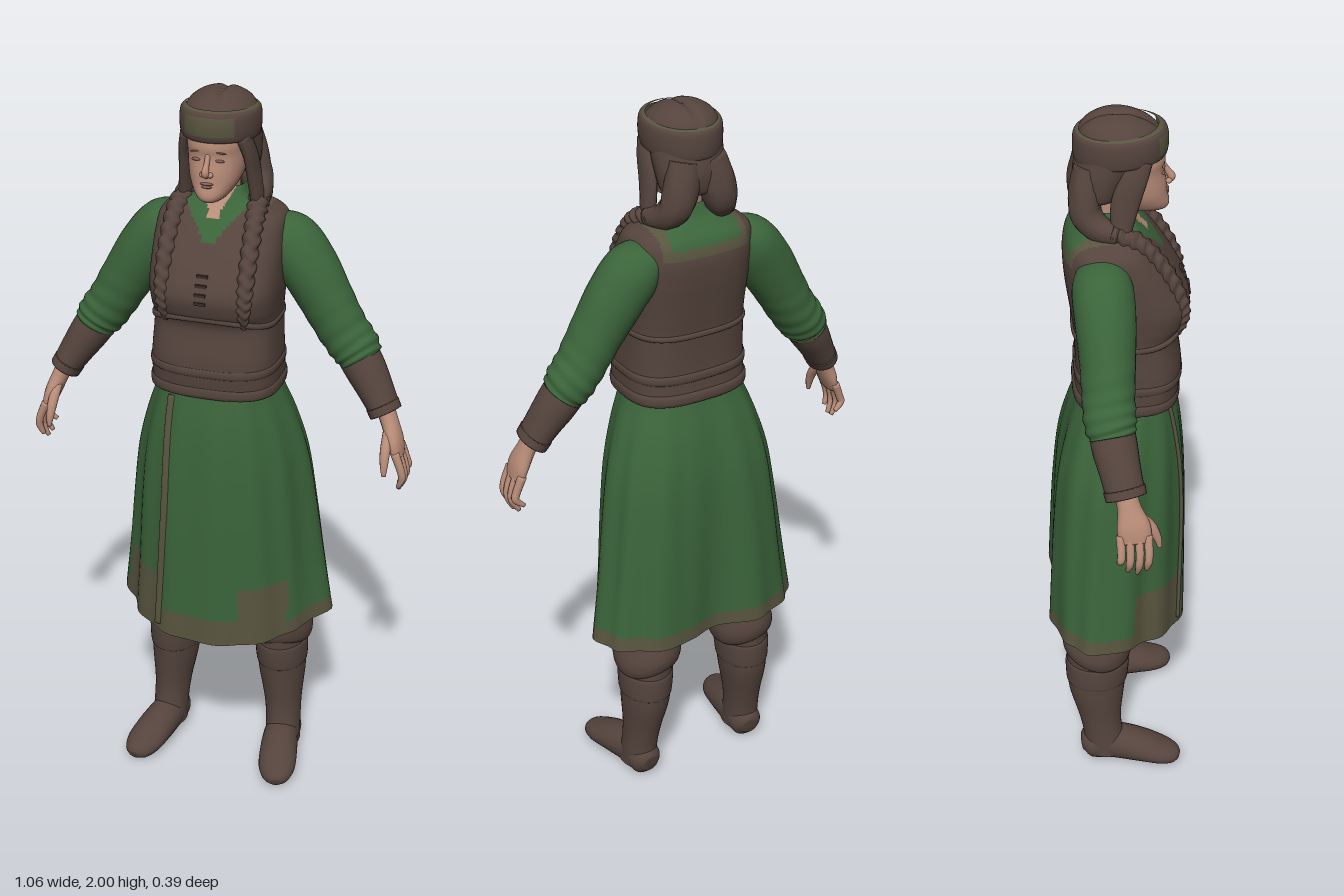
import * as THREE from 'three';

const mat = (name, color, side = THREE.FrontSide) => {
  const m = new THREE.MeshStandardMaterial({ color, side });
  m.name = name;
  return m;
};
const brown = mat('brown leather', 0x55443d);
const dark = mat('dark leather', 0x3a2f2a);
const green = mat('green cloth', 0x3b643a, THREE.DoubleSide);
const olive = mat('olive trim', 0x58553f, THREE.DoubleSide);
const skin = mat('skin', 0xb88c78);
const shade = mat('lips and eyes', 0x86605a);

// Skin a grid of closed rings; paint(centre) picks a material per quad
function skinRings(name, rings, mats, paint) {
  const n = rings[0].length, pos = [], faces = mats.map(() => []);
  rings.forEach(r => r.forEach(p => pos.push(p.x, p.y, p.z)));
  const mid = new THREE.Vector3();
  for (let i = 0; i < rings.length - 1; i++) for (let j = 0; j < n; j++) {
    const k = (j + 1) % n, a = i * n + j, b = i * n + k, c = a + n, d = b + n;
    mid.copy(rings[i][j]).add(rings[i + 1][k]).multiplyScalar(0.5);
    faces[paint ? paint(mid) : 0].push(a, b, d, a, d, c);
  }
  const g = new THREE.BufferGeometry();
  g.setAttribute('position', new THREE.Float32BufferAttribute(pos, 3));
  g.setIndex(faces.flat());
  let start = 0;
  faces.forEach((f, i) => { g.addGroup(start, f.length, i); start += f.length; });
  g.computeVertexNormals();
  const m = new THREE.Mesh(g, mats.length > 1 ? mats : mats[0]);
  m.name = name;
  return m;
}

// Smooth interpolation through rows of numbers
function sample(rows, u) {
  const f = u * (rows.length - 1), i = Math.min(Math.floor(f), rows.length - 2), t = f - i;
  const at = k => rows[Math.max(0, Math.min(rows.length - 1, k))];
  return rows[0].map((_, c) => {
    const p0 = at(i - 1)[c], p1 = at(i)[c], p2 = at(i + 1)[c], p3 = at(i + 2)[c];
    return p1 + 0.5 * t * (p2 - p0 + t * (2 * p0 - 5 * p1 + 4 * p2 - p3 + t * (3 * (p1 - p2) + p3 - p0)));
  });
}

// Upright body: rows of [y, halfWidth, zFront, zBack, centreX], from bottom to top
function loft(name, rows, mats, { p = 2, seg = 40, steps = 5, paint, warp } = {}) {
  const rings = [], n = (rows.length - 1) * steps;
  const pw = v => Math.sign(v) * Math.abs(v) ** (2 / p);
  for (let i = 0; i <= n; i++) {
    const [y, rx, zf, zb, cx = 0] = sample(rows, i / n), ring = [];
    for (let j = 0; j < seg; j++) {
      const t = j / seg * Math.PI * 2;
      const v = new THREE.Vector3(cx + rx * pw(Math.sin(t)), y, (zf + zb) / 2 + (zf - zb) / 2 * pw(Math.cos(t)));
      if (warp) warp(v, t, i / n);
      ring.push(v);
    }
    rings.push(ring);
  }
  return skinRings(name, rings, [].concat(mats), paint);
}

// Limb along a path: points of [x, y, z, radiusAcross, radiusAlongRef]
function limb(name, pts, material, { ref = [0, 0, 1], seg = 16, steps = 6, bump = () => 1 } = {}) {
  const n = (pts.length - 1) * steps, rings = [], R = new THREE.Vector3(...ref);
  const P = u => new THREE.Vector3(...sample(pts, u).slice(0, 3));
  for (let i = 0; i <= n; i++) {
    const u = i / n, c = P(u);
    const T = P(Math.min(1, u + 0.01)).sub(P(Math.max(0, u - 0.01))).normalize();
    const B = R.clone().addScaledVector(T, -R.dot(T)).normalize(), A = B.clone().cross(T);
    const [, , , ra, rb] = sample(pts, u);
    const ring = Array.from({ length: seg }, (_, j) => {
      const t = j / seg * Math.PI * 2, k = bump(u, t);
      return c.clone().addScaledVector(A, ra * k * Math.cos(t)).addScaledVector(B, rb * k * Math.sin(t));
    });
    if (i === 0) rings.push(ring.map(() => c.clone()));
    rings.push(ring);
    if (i === n) rings.push(ring.map(() => c.clone()));
  }
  return skinRings(name, rings, [material]);
}

function ball(name, material, pos, scale, rz = 0) {
  const m = new THREE.Mesh(new THREE.SphereGeometry(1, 20, 14), material);
  m.name = name;
  m.position.set(...pos);
  m.scale.set(...scale);
  m.rotation.z = rz;
  return m;
}

// Depth of a mesh's front surface at x, y
const frontZ = (mesh, x, y) =>
  new THREE.Raycaster(new THREE.Vector3(x, y, 1), new THREE.Vector3(0, 0, -1)).intersectObject(mesh)[0].point.z;

export function createModel() {
  const g = new THREE.Group();
  g.name = 'woman in dress';

  // Skirt: narrow in front, two full lobes behind, worn hem, drooping front edge
  const skirt = loft('skirt', [
    [0.5, 0.307, 0.197, -0.188], [0.66, 0.283, 0.195, -0.184], [0.82, 0.262, 0.193, -0.178], [0.98, 0.238, 0.186, -0.165],
    [1.1, 0.205, 0.175, -0.14], [1.2, 0.168, 0.158, -0.108], [1.27, 0.15, 0.14, -0.09]], [green, olive], {
    p: 2.25, seg: 120, steps: 6,
    paint: m => (m.y < 0.53 || (m.y < 0.65 && m.z > 0.04 && (m.x < -0.13 || (m.x > 0.1 && m.x < 0.22)))) ? 1 : 0,
    warp: (v, t, u) => {
      const f = 1 - u, c = Math.cos(t), ax = Math.abs(v.x);
      const k = 1 + 0.018 * Math.sin(t * 13) * Math.min(1, f * 2);
      v.x *= k; v.z *= k;
      v.z -= 0.04 * f * (1 - c * c);
      if (c > 0) v.x *= 1 - 0.13 * f * Math.min(1, c / 0.4);
      else v.z += f * (0.03 * Math.exp(-((v.x / 0.07) ** 2)) - 0.012 * Math.exp(-(((ax - 0.15) / 0.05) ** 2)));
      if (u < 0.35) v.y -= Math.max(0, c) * 0.035 * (1 - u / 0.35);
    } });
  g.add(skirt);
  // Wrapped edge of the skirt front
  const edge = [[-0.095, 1.19], [-0.1, 1.1], [-0.103, 1.0], [-0.108, 0.87], [-0.116, 0.74], [-0.125, 0.6], [-0.133, 0.49]];
  g.add(limb('skirt overlap trim', edge.map(([x, y]) => [x, y, frontZ(skirt, x, y), 0.006, 0.012]), olive, { ref: [1, 0, 0] }));

  // Torso: vest over a green shirt with an open collar
  const torso = loft('vest and shirt', [
    [1.205, 0.172, 0.163, -0.112], [1.3, 0.17, 0.172, -0.108], [1.4, 0.165, 0.16, -0.112], [1.45, 0.168, 0.183, -0.118],
    [1.5, 0.172, 0.19, -0.125], [1.56, 0.173, 0.163, -0.133], [1.62, 0.172, 0.125, -0.136], [1.67, 0.162, 0.088, -0.124],
    [1.7, 0.115, 0.062, -0.095], [1.72, 0.074, 0.048, -0.076], [1.75, 0.058, 0.03, -0.064]], [brown, green, olive, skin], {
    p: 2.9, seg: 144, steps: 10,
    paint: ({ x, y, z }) => {
      const ax = Math.abs(x);
      if (z > 0) {
        if (ax < (y - 1.66) * 0.5) return 3;
        return y > 1.708 || ax < (y - 1.615) * 0.9 ? 1 : 0;
      }
      const d = Math.max(ax - 0.1, 1.655 - y);
      return y > 1.715 || d < 0 ? 1 : d < 0.025 ? 2 : 0;
    } });
  g.add(torso);
  // Belt and corset seams around the waist; the upper one arches under the bust
  [[1.203, 0.036, 0.175, 0.168, -0.116], [1.265, 0.03, 0.173, 0.173, -0.112], [1.395, 0.018, 0.168, 0.17, -0.117]].forEach(([y, h, rx, zf, zb], i) =>
    g.add(loft(i ? 'corset band' : 'belt', [[y, rx - 0.012, zf - 0.012, zb + 0.012], [y + h * 0.15, rx, zf, zb],
      [y + h * 0.85, rx, zf, zb], [y + h, rx - 0.012, zf - 0.012, zb + 0.012]], brown, {
      p: 2.9, seg: 64, steps: 3,
      warp: (v, t) => {
        if (i < 2 || Math.cos(t) < 0) return;
        const a = Math.cos(t) ** 2;
        v.y += 0.03 * a; v.z += 0.008 * a;
      } })));
  // Lacing on the chest
  for (let i = 0; i < 4; i++) {
    const b = new THREE.Mesh(new THREE.BoxGeometry(0.03, 0.008, 0.008), dark), y = 1.485 + i * 0.022;
    b.name = 'vest lace';
    b.position.set(0, y, frontZ(torso, 0, y));
    g.add(b);
  }

  for (const s of [-1, 1]) {
    const side = s > 0 ? 'left' : 'right';
    const arm = new THREE.Group(), leg = new THREE.Group();
    arm.name = side + ' arm';
    leg.name = side + ' leg';
    const X = pts => pts.map(([x, ...r]) => [x * s, ...r]);

    // Sleeve, wrinkled towards the elbow
    arm.add(limb('sleeve', X([[0.12, 1.63, -0.04, 0.045, 0.06], [0.17, 1.597, -0.04, 0.075, 0.077], [0.222, 1.53, -0.036, 0.078, 0.077],
      [0.272, 1.45, -0.033, 0.072, 0.071], [0.32, 1.37, -0.032, 0.067, 0.067], [0.357, 1.32, -0.03, 0.065, 0.066], [0.378, 1.29, -0.025, 0.055, 0.058]]),
    green, { seg: 32, steps: 10, bump: (u, t) => 1 + 0.09 * Math.max(0, u - 0.45) * Math.sin(u * 60 + 2.2 * Math.sin(t + 0.6)) + 0.012 * Math.sin(3 * t + u * 9) }));
    // Bracer with raised edges
    arm.add(limb('bracer', X([[0.36, 1.31, -0.028, 0.056, 0.058], [0.39, 1.265, -0.02, 0.054, 0.058],
      [0.422, 1.215, -0.008, 0.047, 0.053], [0.452, 1.165, 0.004, 0.04, 0.05]]), brown, { seg: 24 }));
    arm.add(limb('bracer cuff', X([[0.442, 1.181, 0, 0.044, 0.054], [0.454, 1.16, 0.005, 0.043, 0.053]]), brown, { seg: 24 }));
    // Hand
    arm.add(limb('palm', X([[0.452, 1.172, 0.004, 0.024, 0.028], [0.468, 1.135, 0.012, 0.023, 0.031],
      [0.486, 1.09, 0.022, 0.021, 0.043], [0.498, 1.05, 0.026, 0.014, 0.041]]), skin));
    [[0.058, 0.97], [0.035, 0.955], [0.011, 0.96], [-0.012, 0.985]].forEach(([z, tip], i) =>
      arm.add(limb('finger', X([[0.494, 1.07, z, 0.012, 0.012], [0.512, 1.025, z + 0.002, 0.011, 0.011],
        [0.516, (1.025 + tip) / 2, z, 0.01, 0.01], [0.506 - i * 0.004, tip, z - 0.004, 0.006, 0.006]]), skin, { seg: 10, steps: 4 })));
    arm.add(limb('thumb', X([[0.468, 1.12, 0.03, 0.014, 0.014], [0.47, 1.08, 0.066, 0.014, 0.014],
      [0.472, 1.045, 0.083, 0.011, 0.011], [0.474, 1.015, 0.09, 0.006, 0.006]]), skin, { seg: 10, steps: 4 }));

    // Trousers gathered over the boot
    const L = rows => rows.map(r => [...r.slice(0, 4), r[4] * s]);
    leg.add(loft('trousers', L([[0.375, 0.06, 0.02, -0.13, 0.158], [0.39, 0.086, 0.035, -0.15, 0.156], [0.43, 0.096, 0.042, -0.157, 0.153],
      [0.49, 0.09, 0.05, -0.14, 0.145], [0.58, 0.088, 0.07, -0.12, 0.135], [0.8, 0.1, 0.1, -0.11, 0.115]]), brown, {
      warp: (v, t) => { if (v.y < 0.52) v.y += 0.012 * Math.sin(t * 2 + 1); } }));
    leg.add(loft('boot shaft', L([[0.03, 0.05, 0.03, -0.098, 0.175], [0.1, 0.05, 0.012, -0.102, 0.173], [0.17, 0.054, 0.008, -0.116, 0.169],
      [0.27, 0.067, 0.018, -0.142, 0.163], [0.36, 0.071, 0.028, -0.146, 0.16], [0.41, 0.073, 0.03, -0.146, 0.158]]), brown));
    leg.add(loft('boot strap', L([[0.298, 0.066, 0.018, -0.142, 0.162], [0.302, 0.072, 0.025, -0.148, 0.162],
      [0.365, 0.075, 0.031, -0.15, 0.16], [0.37, 0.068, 0.022, -0.142, 0.16]]), brown));
    leg.add(limb('boot foot', X([[0.17, 0.045, -0.104, 0.026, 0.025], [0.172, 0.05, -0.08, 0.05, 0.046], [0.177, 0.054, -0.01, 0.054, 0.05],
      [0.19, 0.046, 0.06, 0.046, 0.054], [0.203, 0.034, 0.12, 0.034, 0.052], [0.212, 0.025, 0.16, 0.025, 0.036], [0.215, 0.02, 0.175, 0.011, 0.016]]),
    brown, { ref: [1, 0, 0], seg: 24 }));
    g.add(arm, leg);

    // Hair drawn from the nape around the neck into a plait over the shoulder
    g.add(limb(side + ' gathered hair', X([[0.035, 1.87, -0.07, 0.035, 0.045], [0.05, 1.81, -0.078, 0.04, 0.048], [0.066, 1.755, -0.076, 0.04, 0.044],
      [0.085, 1.722, -0.045, 0.034, 0.035], [0.1, 1.712, 0.005, 0.026, 0.026]]), brown, { ref: [1, 0, 0], seg: 20,
      bump: (u, t) => 1 + 0.04 * Math.sin(6 * t + u * 8) }));
    g.add(limb(side + ' plait', X([[0.095, 1.715, -0.015, 0.026, 0.026], [0.104, 1.695, 0.04, 0.025, 0.025], [0.109, 1.655, 0.088, 0.022, 0.022],
      [0.111, 1.59, 0.132, 0.021, 0.021], [0.111, 1.52, 0.162, 0.02, 0.02], [0.109, 1.465, 0.167, 0.016, 0.017], [0.106, 1.415, 0.153, 0.006, 0.007]]),
    brown, { ref: [1, 0, 0], seg: 16, steps: 16, bump: (u, t) => 1 + 0.15 * Math.sin(u * 85 + 2 * Math.sin(2 * t)) }));
    g.add(limb(side + ' side lock', X([[0.07, 1.9, 0.06, 0.02, 0.03], [0.085, 1.85, 0.04, 0.016, 0.034],
      [0.09, 1.79, 0.02, 0.017, 0.036], [0.097, 1.715, 0.01, 0.018, 0.026]]), brown));

    // Eyes and brows
    g.add(ball(side + ' eye', shade, [0.031 * s, 1.845, 0.118], [0.012, 0.004, 0.004]));
    g.add(ball(side + ' brow', shade, [0.032 * s, 1.866, 0.118], [0.017, 0.002, 0.004], -0.1 * s));
    g.add(ball(side + ' nostril', skin, [0.01 * s, 1.811, 0.133], [0.008, 0.007, 0.009]));
  }

  // Neck, head and face
  g.add(loft('neck', [[1.66, 0.05, 0.045, -0.06], [1.72, 0.045, 0.036, -0.055], [1.79, 0.046, 0.05, -0.05]], skin));
  g.add(loft('head', [[1.732, 0.004, 0.1, 0.092], [1.735, 0.026, 0.126, 0.03], [1.75, 0.044, 0.136, 0.0], [1.78, 0.062, 0.131, -0.03],
    [1.81, 0.071, 0.128, -0.06], [1.85, 0.077, 0.122, -0.08], [1.88, 0.079, 0.125, -0.085], [1.93, 0.076, 0.115, -0.085]], skin, { p: 2.2 }));
  g.add(limb('nose', [[0, 1.862, 0.116, 0.006, 0.007], [0, 1.838, 0.129, 0.008, 0.007], [0, 1.818, 0.141, 0.01, 0.01],
    [0, 1.806, 0.132, 0.006, 0.007]], skin, { ref: [1, 0, 0], seg: 12 }));
  g.add(ball('upper lip', shade, [0, 1.786, 0.129], [0.018, 0.004, 0.006]));
  g.add(ball('lower lip', shade, [0, 1.778, 0.129], [0.014, 0.004, 0.006]));

  // Hair with a centre parting, and the headband
  g.add(loft('back hair', [[1.775, 0.06, -0.01, -0.08], [1.79, 0.084, 0.02, -0.1], [1.84, 0.094, 0.045, -0.108], [1.89, 0.096, 0.07, -0.1],
    [1.93, 0.093, 0.08, -0.09]], brown));
  g.add(loft('hair crown', [[1.89, 0.09, 0.118, -0.095], [1.94, 0.094, 0.118, -0.096], [1.97, 0.082, 0.095, -0.083],
    [1.99, 0.056, 0.06, -0.055], [1.998, 0.03, 0.035, -0.03], [2.0, 0.002, 0.004, 0]], brown, {
    warp: v => { if (v.y > 1.95) v.y -= 0.008 * Math.exp(-((v.x / 0.01) ** 2)); } }));
  g.add(loft('headband', [[1.887, 0.09, 0.118, -0.095], [1.893, 0.099, 0.129, -0.104], [1.925, 0.103, 0.133, -0.107],
    [1.958, 0.1, 0.127, -0.104], [1.968, 0.087, 0.107, -0.09]], [brown, olive], {
    seg: 64, paint: ({ x, y, z }) => (y - z * 0.06 > 1.959 || (z > 0 && Math.abs(x) < 0.068 && y > 1.905 && y < 1.955)) ? 1 : 0,
    warp: v => { v.y += v.z * 0.06 - 0.005; } }));
  return g;
}
